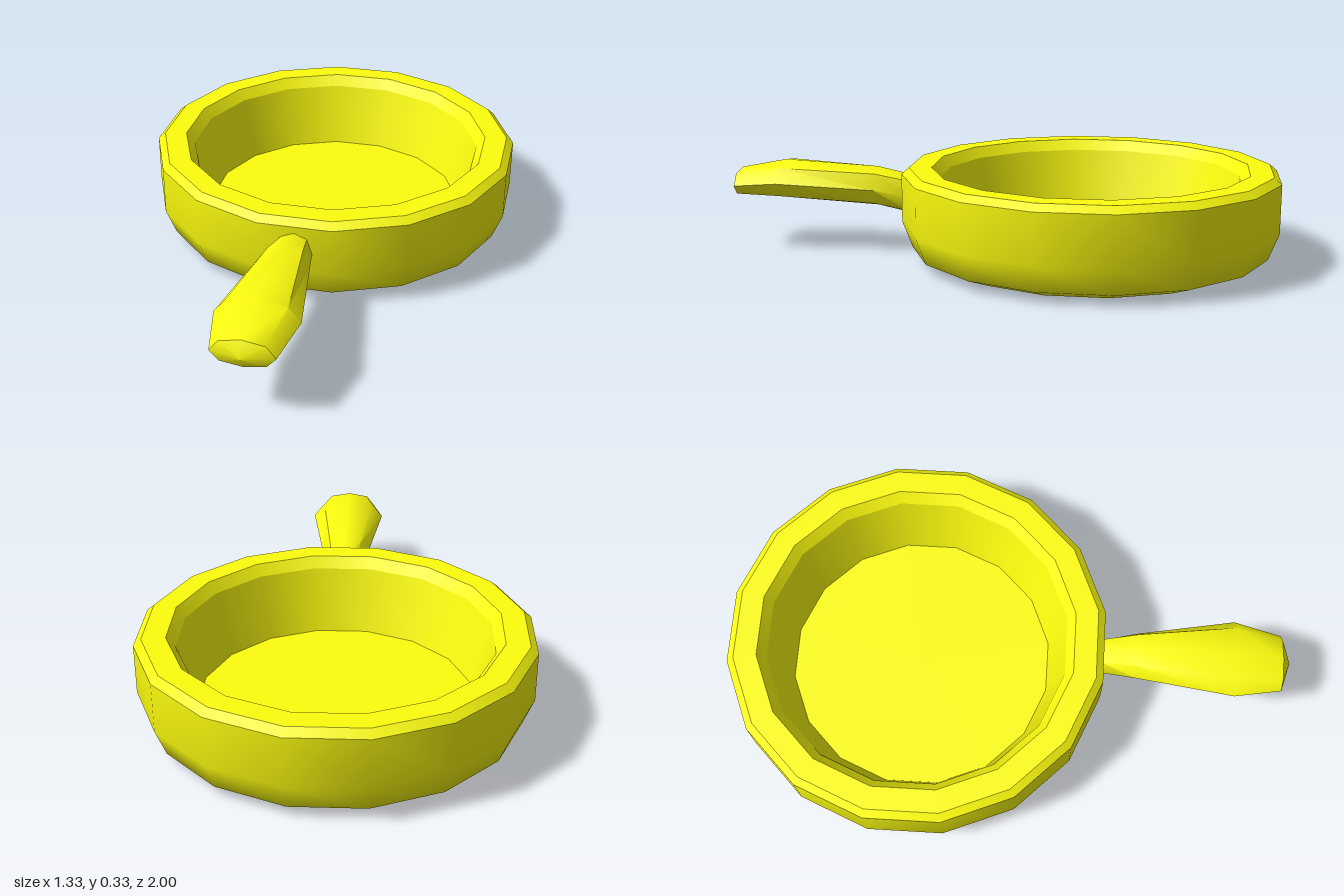
import * as THREE from 'three';
import { toCreasedNormals } from 'three/addons/utils/BufferGeometryUtils.js';

const SIDES = 16;
const PAN_Z = -0.335;

export function createModel() {
  const group = new THREE.Group();
  const yellow = new THREE.MeshStandardMaterial({ color: 0xfdfd0e });

  // Profiles give the distance to the middle of each flat side, so scale out to the corners.
  const toCorner = 1 / Math.cos(Math.PI / SIDES);
  const ring = (name, profile) => {
    const points = profile.map(([r, y]) => new THREE.Vector2(r * toCorner, y));
    const mesh = new THREE.Mesh(new THREE.LatheGeometry(points, SIDES, Math.PI / SIDES), yellow);
    mesh.name = name;
    mesh.position.z = PAN_Z;
    group.add(mesh);
  };

  // Pan: each band is smooth in itself, with a sharp edge to the next
  ring('panBody', [[0, 0.003], [0.535, 0.003], [0.63, 0.04], [0.666, 0.135], [0.666, 0.31]]);
  ring('rimOuterBevel', [[0.666, 0.31], [0.64, 0.333]]);
  ring('rimTop', [[0.64, 0.333], [0.56, 0.333]]);
  ring('rimInnerBevel', [[0.56, 0.333], [0.53, 0.295]]);
  ring('innerWall', [[0.53, 0.295], [0.468, 0.064]]);
  ring('panFloor', [[0.468, 0.064], [0, 0.064]]);

  // Handle: eight-sided sections [z, half width, bottom, middle, top]
  const sections = [
    [0.28, 0.06, 0.13, 0.2, 0.27],
    [0.33, 0.064, 0.14, 0.21, 0.285],
    [0.45, 0.085, 0.165, 0.235, 0.31],
    [0.8, 0.141, 0.19, 0.26, 0.327],
    [0.97, 0.105, 0.195, 0.24, 0.293],
  ];
  const positions = [];
  const index = [];
  const N = 8;
  for (const [z, w, bottom, middle, top] of sections) {
    for (let i = 0; i < N; i++) {
      const a = (i / N) * Math.PI * 2;
      const s = Math.sin(a);
      // Diagonal corners sit a little fuller than an ellipse
      const full = i % 2 ? 1.07 : 1;
      positions.push(w * Math.cos(a), middle + full * s * (s > 0 ? top - middle : middle - bottom), z);
    }
  }
  for (let k = 0; k < sections.length - 1; k++) {
    for (let i = 0; i < N; i++) {
      const a = k * N + i;
      const b = k * N + ((i + 1) % N);
      index.push(a, b, b + N, a, b + N, a + N);
    }
  }
  // Blunt pointed end of the handle
  const last = (sections.length - 1) * N;
  const tip = positions.length / 3;
  positions.push(0, 0.243, 1);
  for (let i = 0; i < N; i++) index.push(last + i, last + ((i + 1) % N), tip);

  const geometry = new THREE.BufferGeometry();
  geometry.setAttribute('position', new THREE.Float32BufferAttribute(positions, 3));
  geometry.setIndex(index);
  const handle = new THREE.Mesh(toCreasedNormals(geometry, 0.8), yellow);
  handle.name = 'handle';
  group.add(handle);

  return group;
}
